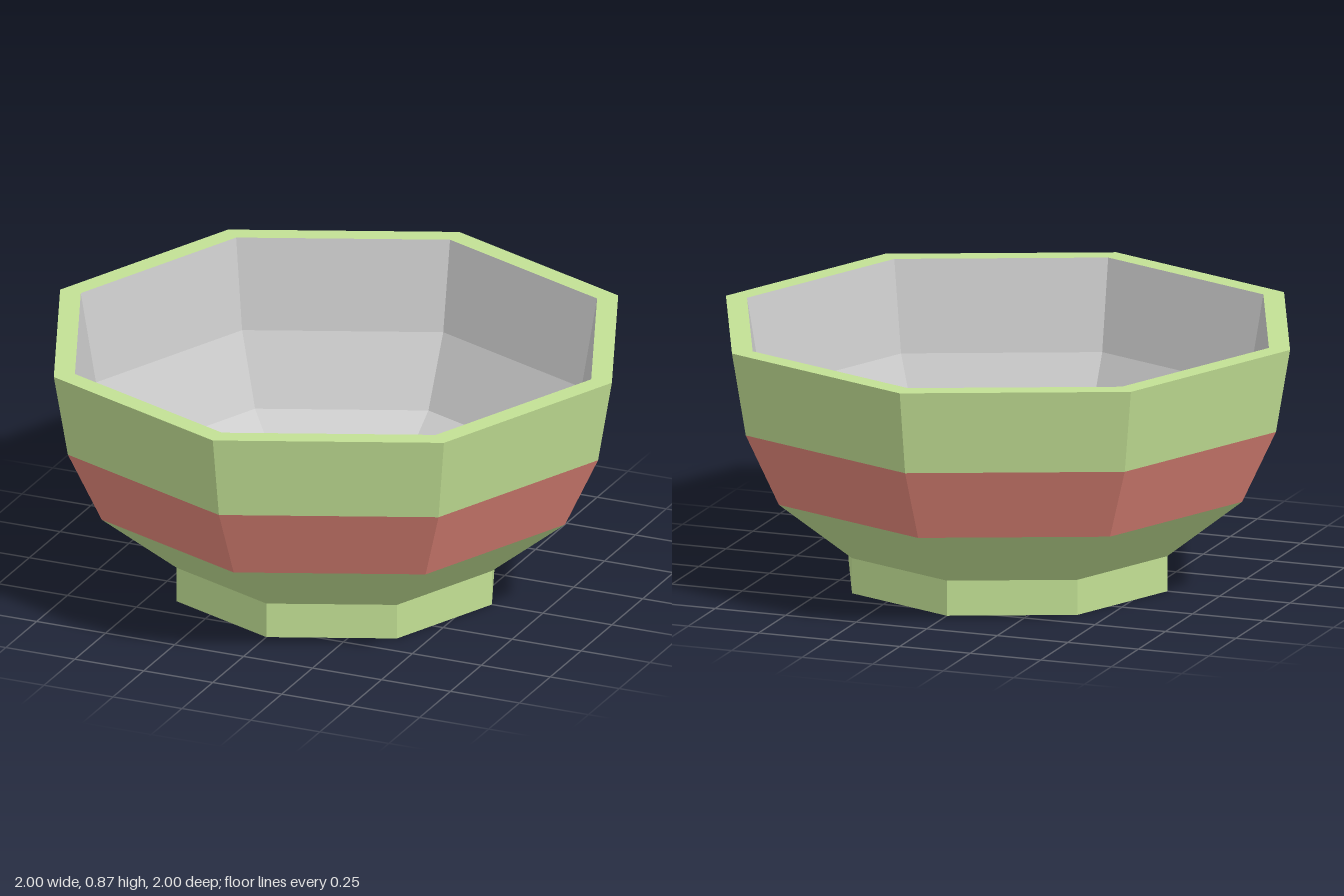
import * as THREE from 'three';

const SIDES = 8;
const GREEN = 0xc2e094, RED = 0xe4877a, GREY = 0xcccccc;

// Eight-sided ring; profile runs up the outside and down the inside
function band(name, color, profile) {
  const points = profile.map(([r, y]) => new THREE.Vector2(r, y));
  const geometry = new THREE.LatheGeometry(points, SIDES).toNonIndexed();
  geometry.computeVertexNormals();
  const mesh = new THREE.Mesh(geometry, new THREE.MeshStandardMaterial({ color, flatShading: true }));
  mesh.name = name;
  return mesh;
}

export function createModel() {
  const bowl = new THREE.Group();
  bowl.name = 'bowl';
  bowl.add(
    // foot ring with a recessed underside
    band('foot', GREEN, [[0, 0.08], [0.45, 0.08], [0.45, 0], [0.565, 0], [0.565, 0.12]]),
    // outer wall
    band('lowerWall', GREEN, [[0.565, 0.12], [0.83, 0.33]]),
    band('redBand', RED, [[0.83, 0.33], [0.95, 0.58]]),
    band('upperWallAndRim', GREEN, [[0.95, 0.58], [1, 0.865], [0.925, 0.865]]),
    // inside wall and floor
    band('interior', GREY, [[0.925, 0.865], [0.87, 0.555], [0.75, 0.32], [0.485, 0.15], [0, 0.15]]),
  );
  return bowl;
}
